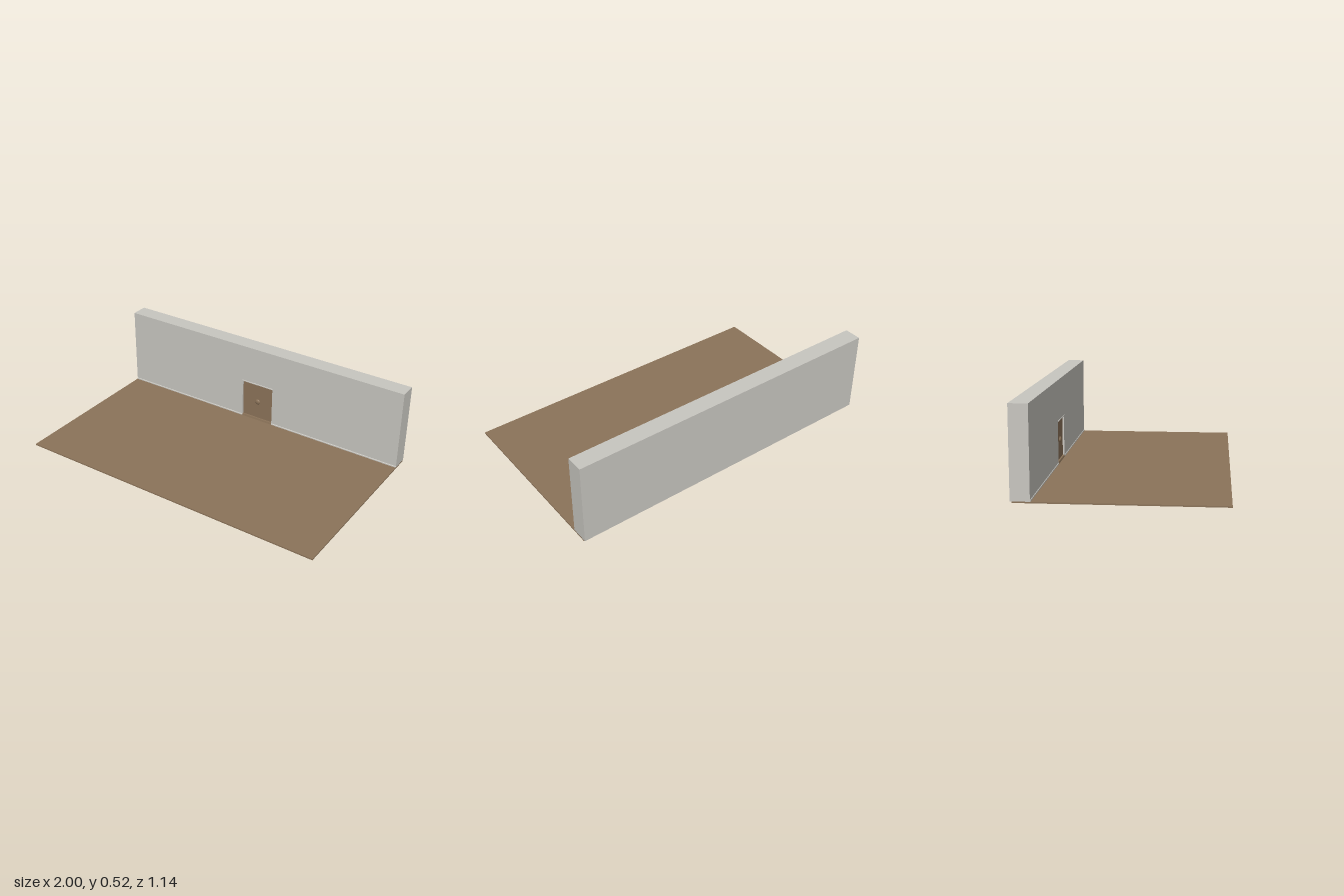
import * as THREE from 'three';

const plaster = new THREE.MeshStandardMaterial({ color: 0xc8c6c0 });
plaster.name = 'plaster grey';
const wood = new THREE.MeshStandardMaterial({ color: 0x8b7359 });
wood.name = 'wood brown';

const FLOOR_TOP = 0.008, WALL_TOP = 0.52;
const WALL_FRONT = -0.466, WALL_BACK = -0.572, RECESS = 0.014;
const DOOR_HALF = 0.112, DOOR_TOP = 0.266;

export function createModel() {
  const group = new THREE.Group();
  const add = (name, geometry, material) => {
    const mesh = new THREE.Mesh(geometry, material);
    mesh.name = name;
    group.add(mesh);
    return mesh;
  };
  // Box given by its limits on each axis
  const box = (name, material, [x0, x1], [y0, y1], [z0, z1]) => {
    const mesh = add(name, new THREE.BoxGeometry(x1 - x0, y1 - y0, z1 - z0), material);
    mesh.position.set((x0 + x1) / 2, (y0 + y1) / 2, (z0 + z1) / 2);
    return mesh;
  };
  // Strip along x with a (z, y) cross-section
  const strip = (name, material, x0, x1, profile) => {
    const shape = new THREE.Shape(profile.map(([z, y]) => new THREE.Vector2(-z, y)));
    const geometry = new THREE.ExtrudeGeometry(shape, { depth: x1 - x0, bevelEnabled: false });
    geometry.rotateY(Math.PI / 2).translate(x0, 0, 0);
    return add(name, geometry, material);
  };

  // Thin floor slab
  box('floor', wood, [-1, 1], [0, FLOOR_TOP], [-0.562, 0.572]);

  // Solid wall behind a front layer that has the doorway cut out
  const recessZ = WALL_FRONT - RECESS;
  box('wall', plaster, [-1, 1], [FLOOR_TOP, WALL_TOP], [WALL_BACK, recessZ]);
  const outline = [
    [-1, FLOOR_TOP], [-DOOR_HALF, FLOOR_TOP], [-DOOR_HALF, DOOR_TOP], [DOOR_HALF, DOOR_TOP],
    [DOOR_HALF, FLOOR_TOP], [1, FLOOR_TOP], [1, WALL_TOP], [-1, WALL_TOP],
  ].map(([x, y]) => new THREE.Vector2(x, y));
  const face = add('wallFront', new THREE.ExtrudeGeometry(new THREE.Shape(outline),
    { depth: RECESS, bevelEnabled: false }), plaster);
  face.position.z = recessZ;

  // Door set into the doorway, with a low round knob
  box('door', wood, [-DOOR_HALF, DOOR_HALF], [FLOOR_TOP, DOOR_TOP], [recessZ, recessZ + 0.004]);
  const knob = add('doorKnob', new THREE.SphereGeometry(0.018, 20, 12), wood);
  knob.scale.z = 0.5;
  knob.position.set(0, 0.14, recessZ + 0.006);

  // Sloped sill and lintel lip
  strip('doorSill', wood, -DOOR_HALF, DOOR_HALF, [
    [recessZ, FLOOR_TOP], [WALL_FRONT + 0.003, FLOOR_TOP], [WALL_FRONT, 0.02], [recessZ, 0.02],
  ]);
  strip('lintelLip', plaster, -DOOR_HALF - 0.003, DOOR_HALF + 0.003, [
    [WALL_FRONT - 0.002, DOOR_TOP], [WALL_FRONT + 0.003, DOOR_TOP + 0.002],
    [WALL_FRONT + 0.003, DOOR_TOP + 0.007], [WALL_FRONT - 0.002, DOOR_TOP + 0.01],
  ]);

  // Small skirting on either side of the door
  for (const [name, x0, x1] of [['rightSkirting', -1, -DOOR_HALF], ['leftSkirting', DOOR_HALF, 1]]) {
    strip(name, plaster, x0, x1, [
      [WALL_FRONT - 0.002, FLOOR_TOP], [WALL_FRONT + 0.003, FLOOR_TOP],
      [WALL_FRONT + 0.003, 0.014], [WALL_FRONT - 0.002, 0.02],
    ]);
  }
  return group;
}
